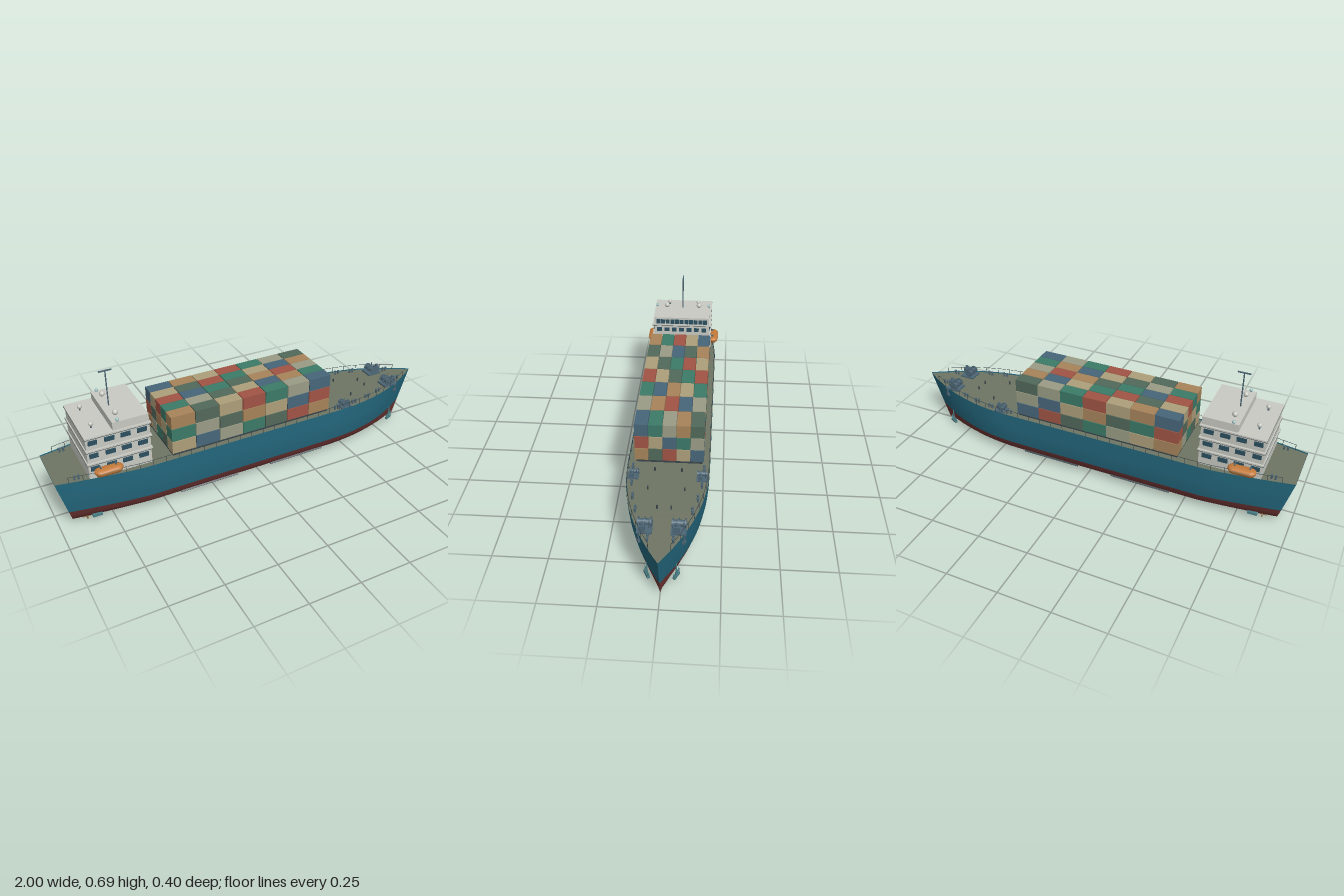
import * as THREE from 'three';

const mat = (color, side = THREE.FrontSide) => new THREE.MeshStandardMaterial({ color, side });
const TEAL = mat(0x24687e, THREE.DoubleSide), RED = mat(0x703634, THREE.DoubleSide);
const DECK = mat(0x6f7564, THREE.DoubleSide), WHITE = mat(0xc8cac2), GLASS = mat(0x2c4f60);
const STEEL = mat(0x4d6675), DARK = mat(0x39454b), ORANGE = mat(0xc47a3a), BRASS = mat(0xa6835a);
const LAMP = mat(0x9fc4c6), FIN = mat(0x4a7f86);
const SIDES = [1, -1], TOP = 0.262, DECK_Y = 0.256;

// Half breadth at deck level for a station x
function breadth(x) {
  if (x > 0.4) return 0.185 * (1 - Math.pow((x - 0.4) / 0.6, 2.2));
  if (x < -0.6) return 0.185 - 0.06 * Math.pow((-0.6 - x) / 0.4, 1.3);
  return 0.185;
}

// Midship section: [fraction of half breadth, height]
const BOTTOM = [[0, 0.004], [0.2, 0.005], [0.4, 0.009], [0.66, 0.022], [0.78, 0.04], [0.86, 0.062], [0.92, 0.09]];
const UPPER = [[0.92, 0.09], [0.97, 0.14], [0.99, 0.19], [1, TOP]];

// Point on the hull: raked stem and stern
function hullPoint(u, f, y) {
  const k = y / TOP, xs = -0.93 - 0.07 * k, xb = 0.91 + 0.09 * k;
  return [xs + (xb - xs) * u, y, f * breadth(-1 + 2 * u)];
}

function grid(nu, nv, fn) {
  const pos = [], index = [];
  for (let j = 0; j <= nv; j++) for (let i = 0; i <= nu; i++) pos.push(...fn(i, j));
  for (let j = 0; j < nv; j++) for (let i = 0; i < nu; i++) {
    const a = j * (nu + 1) + i, c = a + nu + 1;
    index.push(a, a + 1, c, a + 1, c + 1, c);
  }
  const g = new THREE.BufferGeometry();
  g.setAttribute('position', new THREE.Float32BufferAttribute(pos, 3));
  g.setIndex(index);
  g.computeVertexNormals();
  return g;
}

function add(parent, name, geometry, material, x = 0, y = 0, z = 0) {
  const m = new THREE.Mesh(geometry, material);
  m.name = name;
  m.position.set(x, y, z);
  parent.add(m);
  return m;
}
const box = (p, name, material, w, h, d, x, y, z) => add(p, name, new THREE.BoxGeometry(w, h, d), material, x, y, z);
const rod = (p, name, material, r, h, x, y, z, n = 12) => add(p, name, new THREE.CylinderGeometry(r, r, h, n), material, x, y, z);
function group(parent, name, x = 0, y = 0, z = 0) {
  const g = new THREE.Group();
  g.name = name;
  g.position.set(x, y, z);
  parent.add(g);
  return g;
}

function buildHull(root) {
  const hull = group(root, 'hull'), N = 64;
  const loop = [...BOTTOM.slice(1).reverse().map(([f, y]) => [-f, y]), ...BOTTOM];
  add(hull, 'lowerHull', grid(N, loop.length - 1, (i, j) => hullPoint(i / N, ...loop[j])), RED);
  for (const s of SIDES) {
    add(hull, 'upperHull', grid(N, UPPER.length - 1, (i, j) =>
      hullPoint(s > 0 ? i / N : 1 - i / N, s * UPPER[j][0], UPPER[j][1])), TEAL);
  }
  for (const [rows, m] of [[BOTTOM, RED], [UPPER, TEAL]]) {
    add(hull, 'transom', grid(1, rows.length - 1, (i, j) => hullPoint(0, (2 * i - 1) * rows[j][0], rows[j][1])), m);
  }
  add(hull, 'deck', grid(N, 1, (i, j) => hullPoint(i / N, j ? -0.995 : 0.995, DECK_Y)), DECK);
  // Bilge keels, stern fins and propellers
  for (const s of SIDES) {
    for (const x of [-0.28, 0.2]) box(hull, 'bilgeKeel', DARK, 0.3, 0.01, 0.008, x, 0.04, s * 0.147).rotation.x = s * -0.8;
    box(hull, 'sternFin', FIN, 0.045, 0.012, 0.02, -0.83, 0.036, s * 0.118);
    const prop = group(hull, 'propeller', -0.87, 0.02, s * 0.085);
    rod(prop, 'propellerHub', BRASS, 0.006, 0.04, 0, 0, 0).rotation.z = Math.PI / 2;
    for (let k = 0; k < 4; k++) {
      const a = k * Math.PI / 2;
      const blade = box(prop, 'propellerBlade', BRASS, 0.004, 0.016, 0.009, 0, 0.012 * Math.cos(a), 0.012 * Math.sin(a));
      blade.rotation.x = a;
    }
  }
}

// Handrail following the deck edge
function buildRailing(root) {
  const rail = group(root, 'railing');
  for (const s of SIDES) {
    const pts = [];
    for (let i = 0; i <= 30; i++) {
      const x = -0.94 + 1.86 * i / 30, z = s * (breadth(x) - 0.004);
      pts.push(new THREE.Vector3(x, 0.287, z));
      rod(rail, 'railPost', DARK, 0.0012, 0.031, x, 0.2715, z, 5);
    }
    add(rail, 'handrail', new THREE.TubeGeometry(new THREE.CatmullRomCurve3(pts), 90, 0.0011, 5), DARK);
  }
}

function buildContainers(root) {
  const cargo = group(root, 'containers');
  const colors = { B: 0x47667a, G: 0x3c7a68, Y: 0x9a9c85, O: 0xa6835a, D: 0x52695a, R: 0xa05444, T: 0xad9f7a };
  const order = 'BGYODRT', mats = [...order].map(k => mat(colors[k]));
  const rows = ['ODTRGYB', 'GYDTBOG', 'RBGDORY', 'TDRGTBO', 'BOTRGYD'];
  const geo = new THREE.BoxGeometry(0.116, 0.0625, 0.0605);
  rows.forEach((row, j) => [...row].forEach((key, i) => {
    for (let t = 0; t < 3; t++) {
      const k = (order.indexOf(key) + 2 * t + 3) % 7;
      add(cargo, 'container', geo, mats[k], -0.405 + i * 0.12, 0.2995 + t * 0.0655, 0.126 - j * 0.063);
    }
  }));
  box(cargo, 'cargoBase', DARK, 0.83, 0.014, 0.3, -0.045, 0.261, 0);
}

function buildHouse(root) {
  const house = group(root, 'deckhouse');
  box(house, 'accommodation', WHITE, 0.29, 0.215, 0.296, -0.705, 0.3635, 0);
  // Storeys with overhanging slabs and windows
  for (let t = 0; t < 3; t++) {
    const y = 0.308 + t * 0.066;
    box(house, 'floorSlab', WHITE, 0.3, 0.007, 0.316, -0.705, y + 0.028, 0);
    box(house, 'slabTrim', DARK, 0.301, 0.002, 0.317, -0.705, y + 0.0235, 0);
    for (const s of SIDES) {
      for (const [x, w] of [[-0.82, 0.04], [-0.745, 0.045], [-0.672, 0.045], [-0.597, 0.045]])
        box(house, 'sideWindow', GLASS, w, 0.022, 0.008, x, y, s * 0.148);
    }
    for (let k = -3; k <= 3; k++) box(house, 'frontWindow', GLASS, 0.006, 0.022, 0.026, -0.56, y, k * 0.04);
  }
  // Wheelhouse
  box(house, 'wheelhouse', WHITE, 0.165, 0.045, 0.294, -0.643, 0.4875, 0);
  for (let k = -5; k <= 5; k++) box(house, 'bridgeWindow', GLASS, 0.006, 0.024, 0.021, -0.56, 0.487, k * 0.0252);
  // Roof fittings
  const dome = new THREE.SphereGeometry(0.013, 20, 14), small = new THREE.SphereGeometry(0.008, 14, 10);
  for (const s of SIDES) {
    add(house, 'radarDome', dome, WHITE, -0.69, 0.523, s * 0.088);
    add(house, 'aftDome', new THREE.SphereGeometry(0.011, 18, 12), WHITE, -0.8, 0.491, s * 0.08);
    rod(house, 'domeStand', STEEL, 0.004, 0.02, -0.8, 0.478, s * 0.08);
    add(house, 'signalLamp', small, LAMP, -0.7, 0.517, s * 0.141);
  }
  rod(house, 'mast', STEEL, 0.003, 0.175, -0.69, 0.5965, 0);
  box(house, 'mastCrossbar', STEEL, 0.06, 0.005, 0.006, -0.69, 0.6825, 0);
}

// Lifeboat: round ended hull with a low canopy, hung from two davits
function buildLifeboats(root) {
  for (const s of SIDES) {
    const boat = group(root, 'lifeboat', -0.767, 0.3, s * 0.169);
    const body = new THREE.CapsuleGeometry(0.027, 0.074, 8, 20);
    body.rotateZ(Math.PI / 2);
    const p = body.attributes.position;
    for (let i = 0; i < p.count; i++) if (p.getY(i) > 0) p.setY(i, p.getY(i) * 0.45);
    body.computeVertexNormals();
    add(boat, 'lifeboatBody', body, ORANGE);
    box(boat, 'gunwale', BRASS, 0.1, 0.004, 0.057, 0, 0, 0);
    for (const x of [-0.035, 0.035]) {
      box(boat, 'davitPost', STEEL, 0.006, 0.06, 0.006, x, -0.014, s * -0.024);
      box(boat, 'davitArm', STEEL, 0.006, 0.005, 0.03, x, 0.015, s * -0.012);
    }
  }
}

function winch(root, x, z, k) {
  const w = group(root, 'winch', x, DECK_Y, z);
  w.scale.setScalar(k);
  box(w, 'winchBase', STEEL, 0.075, 0.008, 0.064, 0, 0.004, 0);
  rod(w, 'winchDrum', STEEL, 0.013, 0.06, -0.01, 0.025, 0, 18).rotation.x = Math.PI / 2;
  for (const dz of [-0.026, 0, 0.026]) rod(w, 'drumFlange', STEEL, 0.02, 0.004, -0.01, 0.026, dz, 20).rotation.x = Math.PI / 2;
  box(w, 'winchMotor', STEEL, 0.026, 0.03, 0.026, 0.022, 0.023, 0.01);
  rod(w, 'motorCap', STEEL, 0.007, 0.012, 0.022, 0.043, 0.01);
  rod(w, 'brakeLever', STEEL, 0.002, 0.04, 0.012, 0.03, -0.02, 6);
}

function buildDeckGear(root) {
  const gear = group(root, 'deckGear');
  for (const s of SIDES) {
    winch(gear, 0.8, s * 0.07, 1);
    winch(gear, 0.47, s * 0.152, 0.75);
    // Bollard pairs along the edge
    for (const x of [0.42, 0.53, 0.62, 0.7, 0.87, -0.9]) {
      for (const dx of [-0.009, 0.009]) {
        const z = s * (breadth(x) - 0.025);
        rod(gear, 'bollard', STEEL, 0.0045, 0.018, x + dx, 0.265, z);
        rod(gear, 'bollardCap', STEEL, 0.006, 0.004, x + dx, 0.275, z);
      }
    }
    // Small deck vents
    for (const [x, z] of [[0.43, 0.06], [0.56, 0.08], [0.68, 0.03]]) rod(gear, 'vent', DARK, 0.004, 0.016, x, 0.264, s * z);

    // Hawse fitting at the bow
    const a = s > 0 ? 0.45 : Math.PI - 0.45;
    const hawse = group(gear, 'hawseFitting', 0.835, 0.24, s * 0.092);
    hawse.rotation.y = a;
    box(hawse, 'hawseBar', STEEL, 0.008, 0.044, 0.008, 0, 0, 0);
    box(hawse, 'hawsePlate', STEEL, 0.02, 0.012, 0.012, 0, -0.02, 0);

    // Anchor against the bow plating
    const anchor = group(gear, 'anchor', 0.84, 0.06, s * 0.062);
    anchor.rotation.y = a;
    add(anchor, 'anchorShank', new THREE.CylinderGeometry(0.002, 0.006, 0.07, 8), FIN, 0, 0.005, 0);
    box(anchor, 'anchorCrown', FIN, 0.044, 0.01, 0.012, 0, -0.028, 0);
    for (const d of SIDES) {
      add(anchor, 'anchorFluke', new THREE.ConeGeometry(0.007, 0.034, 8), FIN, d * 0.019, -0.01, 0).rotation.z = d * -0.25;
    }
  }
}

export function createModel() {
  const root = new THREE.Group();
  root.name = 'containerShip';
  buildHull(root);
  buildRailing(root);
  buildContainers(root);
  buildHouse(root);
  buildLifeboats(root);
  buildDeckGear(root);
  return root;
}
